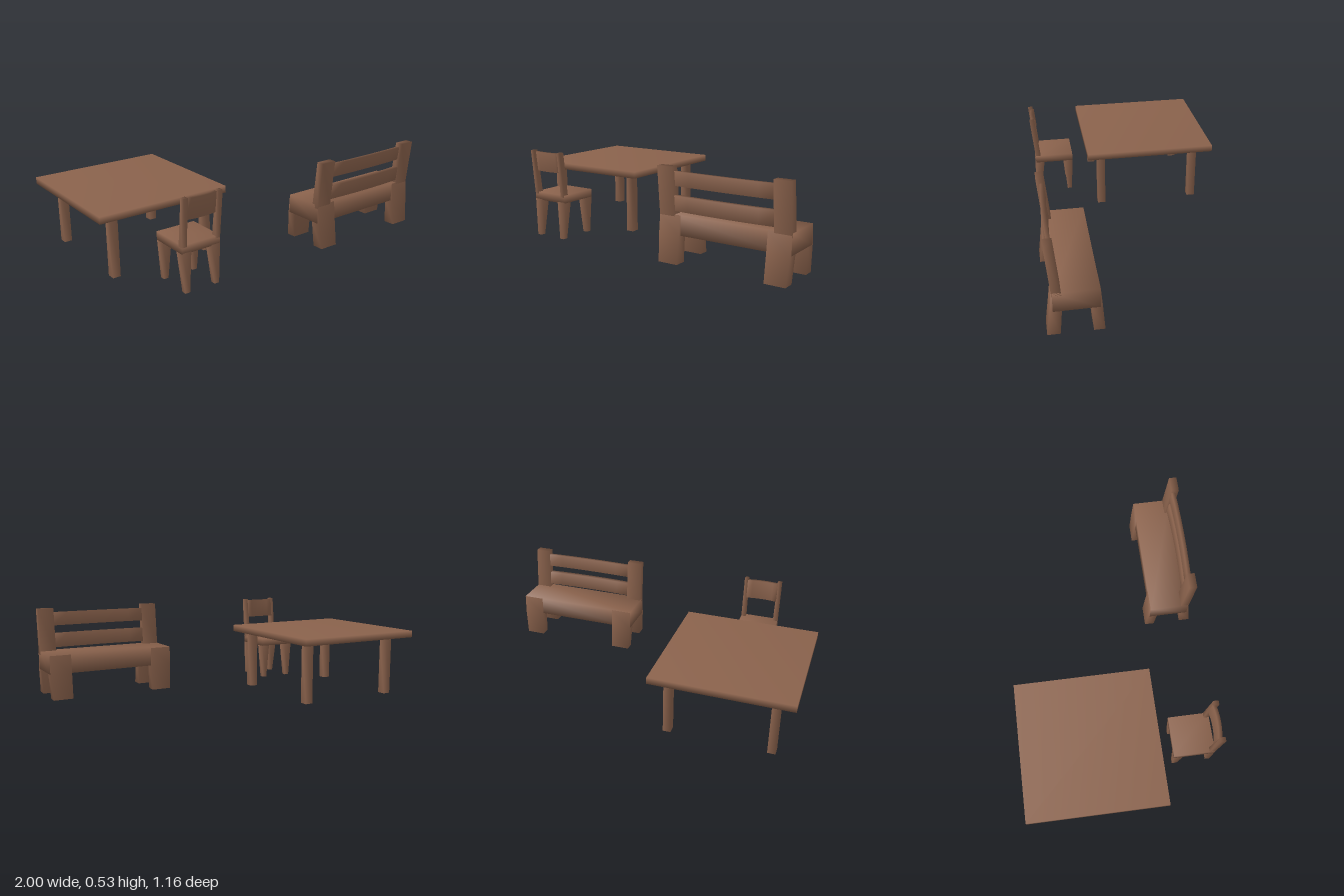
import * as THREE from 'three';

const wood = new THREE.MeshStandardMaterial({ color: 0x8a624c });

// Skin a row of four-cornered rings and cap both ends; shared corners give soft shading
function loft(name, rings) {
  const index = [];
  for (let r = 0; r < rings.length - 1; r++) {
    for (let i = 0; i < 4; i++) {
      const a = r * 4 + i, b = r * 4 + (i + 1) % 4;
      index.push(a, a + 4, b + 4, a, b + 4, b);
    }
  }
  const e = (rings.length - 1) * 4;
  index.push(0, 1, 2, 0, 2, 3, e, e + 2, e + 1, e, e + 3, e + 2);
  const geometry = new THREE.BufferGeometry();
  geometry.setAttribute('position', new THREE.Float32BufferAttribute(rings.flat(2), 3));
  geometry.setIndex(index);
  geometry.computeVertexNormals();
  const mesh = new THREE.Mesh(geometry, wood);
  mesh.name = name;
  return mesh;
}

// Level rectangle at height y
const level = (y, x0, x1, z0, z1) => [[x0, y, z0], [x1, y, z0], [x1, y, z1], [x0, y, z1]];

const block = (name, x0, x1, y0, y1, z0, z1) =>
  loft(name, [level(y0, x0, x1, z0, z1), level(y1, x0, x1, z0, z1)]);

// Upright built from levels [y, outer, inner, z0, z1], placed on one side of a centre line
function upright(name, cx, side, levels) {
  return loft(name, levels.map(([y, outer, inner, z0, z1]) => {
    const a = cx + side * outer, b = cx + side * inner;
    return level(y, Math.min(a, b), Math.max(a, b), z0, z1);
  }));
}

// Back slat that leans with the posts and bows gently to the rear
function slat(name, cx, half, y0, y1, z, thick, bow) {
  const lean = (y1 - y0) * 0.05, t = thick / 2, rings = [];
  for (let i = 0; i <= 6; i++) {
    const u = i / 3 - 1, x = cx + u * half, c = z + bow * (1 - u * u);
    rings.push([[x, y0, c - t - lean], [x, y0, c + t - lean],
      [x, y1, c + t + lean], [x, y1, c - t + lean]]);
  }
  return loft(name, rings);
}

function makeTable() {
  const table = new THREE.Group();
  table.name = 'table';
  table.add(block('tableTop', -1, -0.2, 0.355, 0.395, -0.58, 0.225));
  for (const x of [-0.888, -0.292]) {
    for (const z of [0.136, -0.47]) {
      table.add(block('tableLeg', x - 0.023, x + 0.023, 0, 0.347, z - 0.025, z + 0.025));
    }
  }
  return table;
}

function makeChair() {
  const chair = new THREE.Group(), cx = -0.597;
  chair.name = 'chair';
  chair.add(block('chairSeat', cx - 0.118, cx + 0.118, 0.225, 0.273, 0.303, 0.545));
  for (const side of [-1, 1]) {
    chair.add(upright('chairFrontLeg', cx, side, [
      [0.005, 0.107, 0.078, 0.313, 0.343], [0.23, 0.118, 0.063, 0.304, 0.36]]));
    chair.add(upright('chairRearLeg', cx, side, [
      [0.005, 0.107, 0.078, 0.52, 0.55], [0.23, 0.118, 0.063, 0.49, 0.545]]));
    chair.add(upright('chairBackPost', cx, side, [
      [0.26, 0.118, 0.09, 0.512, 0.545], [0.53, 0.118, 0.093, 0.54, 0.57]]));
  }
  chair.add(slat('chairBackrest', cx, 0.096, 0.405, 0.522, 0.537, 0.02, 0.01));
  return chair;
}

function makeBench() {
  const bench = new THREE.Group(), cx = 0.6125;
  bench.name = 'bench';
  bench.add(block('benchSeat', cx - 0.387, cx + 0.387, 0.16, 0.272, 0.306, 0.545));
  for (const side of [-1, 1]) {
    // Legs splay to front and rear
    bench.add(upright('benchFrontLeg', cx, side, [
      [0.007, 0.376, 0.258, 0.285, 0.343], [0.16, 0.386, 0.258, 0.296, 0.353],
      [0.271, 0.387, 0.258, 0.305, 0.36]]));
    bench.add(upright('benchRearLeg', cx, side, [
      [0.007, 0.376, 0.258, 0.512, 0.58], [0.16, 0.386, 0.258, 0.5, 0.56],
      [0.271, 0.387, 0.258, 0.5, 0.547]]));
    bench.add(upright('benchBackPost', cx, side, [
      [0.25, 0.387, 0.292, 0.498, 0.547], [0.53, 0.387, 0.292, 0.525, 0.572]]));
  }
  bench.add(slat('benchUpperSlat', cx, 0.3, 0.425, 0.505, 0.536, 0.022, 0.008));
  bench.add(slat('benchLowerSlat', cx, 0.31, 0.29, 0.375, 0.532, 0.03, 0.011));
  return bench;
}

export function createModel() {
  const model = new THREE.Group();
  model.name = 'furnitureSet';
  model.add(makeTable(), makeChair(), makeBench());
  return model;
}
